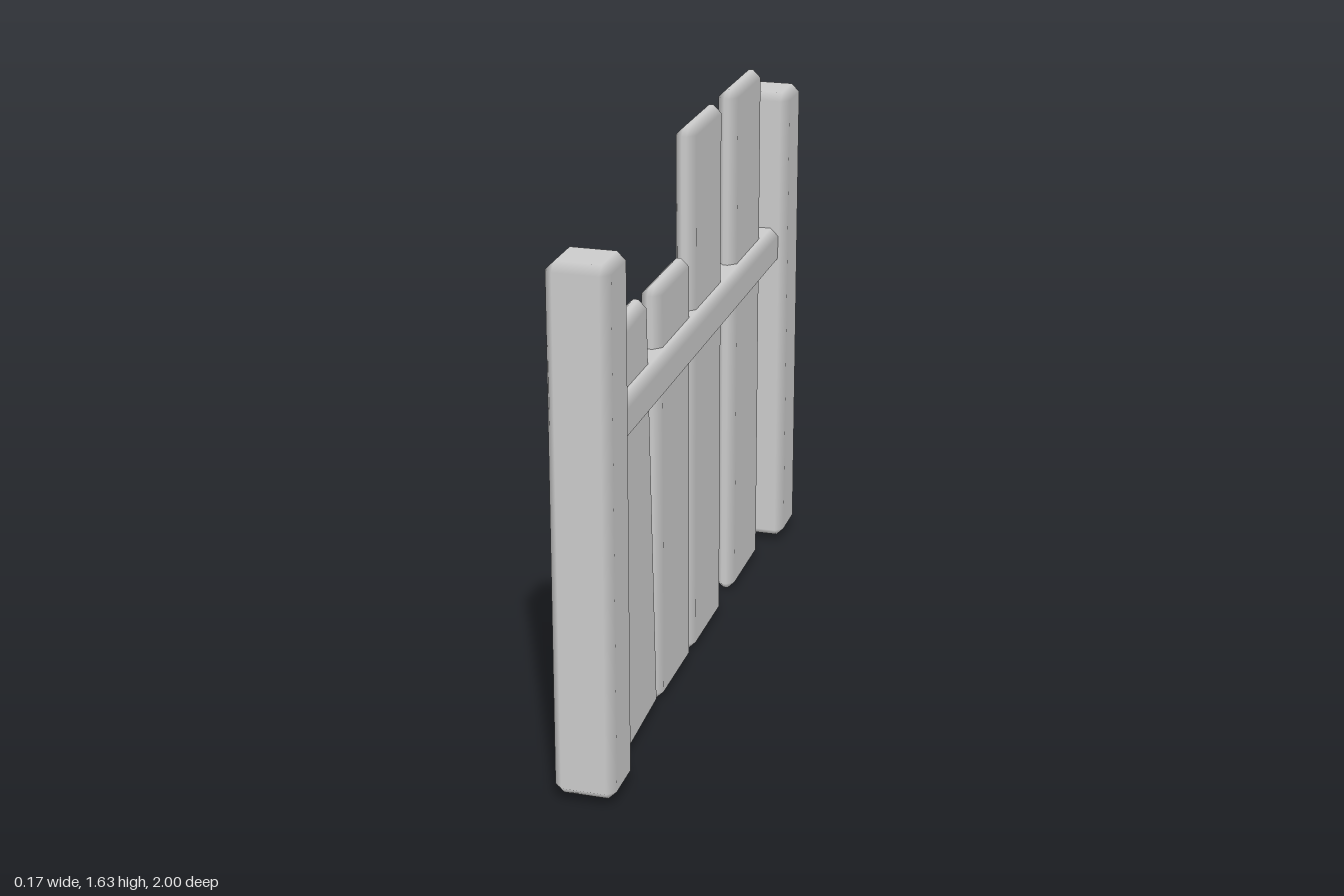
import * as THREE from 'three';

const material = new THREE.MeshStandardMaterial({ color: 0xcccccc });

// Box with one chamfer along every edge, shaded smoothly across the chamfers
function chamferedBox(w, h, d, bevel) {
  const geo = new THREE.BoxGeometry(w, h, d);
  const pos = geo.attributes.position, nor = geo.attributes.normal;
  const index = Array.from(geo.index.array);
  const lookup = {};
  for (let i = 0; i < pos.count; i++) {
    const p = pos.array.slice(i * 3, i * 3 + 3);
    const n = nor.array.slice(i * 3, i * 3 + 3);
    const axis = [0, 1, 2].find(a => Math.abs(n[a]) > 0.5);
    const signs = Array.from(p, Math.sign);
    lookup[axis + ':' + signs] = i;
    // pull each face's corners inward within the face
    for (let a = 0; a < 3; a++) if (a !== axis) p[a] -= signs[a] * bevel;
    pos.setXYZ(i, p[0], p[1], p[2]);
  }
  const vert = (axis, signs) => lookup[axis + ':' + signs];

  // add a triangle, turned so that it faces away from the centre
  const at = i => new THREE.Vector3().fromBufferAttribute(pos, i);
  const normalAt = i => new THREE.Vector3().fromBufferAttribute(nor, i);
  const tri = (a, b, c) => {
    const face = at(b).sub(at(a)).cross(at(c).sub(at(a)));
    const out = normalAt(a).add(normalAt(b)).add(normalAt(c));
    index.push(...(face.dot(out) > 0 ? [a, b, c] : [a, c, b]));
  };

  for (const s of [-1, 1]) for (const t of [-1, 1]) {
    // four edge strips along each axis
    for (let k = 0; k < 3; k++) {
      const u = (k + 1) % 3, v = (k + 2) % 3;
      const ends = [-1, 1].map(e => {
        const signs = [0, 0, 0];
        signs[k] = e; signs[u] = s; signs[v] = t;
        return signs;
      });
      const a = vert(u, ends[0]), b = vert(u, ends[1]);
      const c = vert(v, ends[1]), f = vert(v, ends[0]);
      tri(a, b, c);
      tri(a, c, f);
    }
    // corner triangles
    for (const r of [-1, 1]) tri(...[0, 1, 2].map(axis => vert(axis, [s, t, r])));
  }
  geo.setIndex(index);
  geo.clearGroups();
  return geo;
}

export function createModel() {
  const group = new THREE.Group();
  const add = (name, size, y, z, bevel, lean = 0) => {
    const mesh = new THREE.Mesh(chamferedBox(...size, bevel), material);
    mesh.name = name;
    mesh.position.set(0, y, z);
    mesh.rotation.x = lean;
    group.add(mesh);
  };

  // End posts
  add('frontPost', [0.174, 1.506, 0.172], 0.783, 0.914, 0.024);
  add('backPost', [0.174, 1.506, 0.172], 0.783, -0.914, 0.024);

  // Cross rail, its ends set into the posts
  add('rail', [0.122, 0.122, 1.74], 1.038, 0, 0.024);

  // Planks: two short (one leaning) and two tall
  add('leaningPlank', [0.06, 1.264, 0.31], 0.647, 0.589, 0.023, 0.062);
  add('shortPlank', [0.06, 1.264, 0.31], 0.643, 0.214, 0.023);
  add('tallPlank1', [0.06, 1.628, 0.31], 0.825, -0.124, 0.023);
  add('tallPlank2', [0.06, 1.628, 0.31], 0.825, -0.574, 0.023);

  return group;
}
